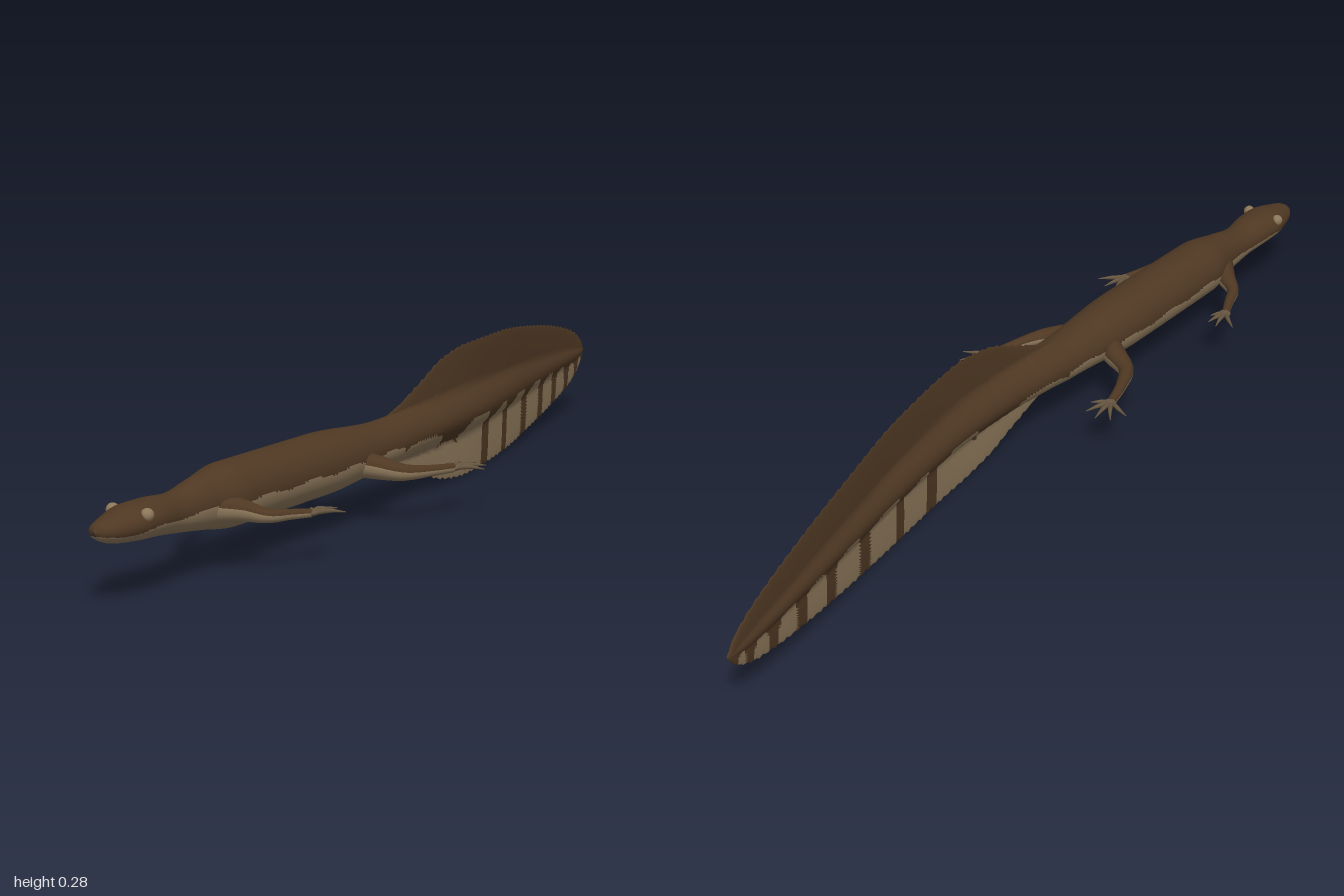
import * as THREE from 'three';

// z, centre x, half width, top y, bottom y, share of the height filled by the fleshy core
const PROFILE = [
  [1.00, 0, 0.002, 0.142, 0.136, 1],
  [0.99, 0, 0.019, 0.152, 0.126, 1],
  [0.96, 0, 0.033, 0.161, 0.114, 1],
  [0.90, 0, 0.046, 0.172, 0.107, 1],
  [0.86, 0, 0.044, 0.172, 0.104, 1],
  [0.80, 0, 0.037, 0.168, 0.097, 1],
  [0.72, 0, 0.044, 0.182, 0.086, 1],
  [0.64, 0, 0.061, 0.194, 0.075, 1],
  [0.36, 0, 0.063, 0.194, 0.075, 1],
  [0.15, 0, 0.050, 0.181, 0.088, 1],
  [0.08, 0, 0.046, 0.197, 0.078, 0.8],
  [0.00, 0, 0.042, 0.230, 0.050, 0.55],
  [-0.10, -0.004, 0.039, 0.269, 0.018, 0.40],
  [-0.20, -0.012, 0.036, 0.282, 0.008, 0.36],
  [-0.40, -0.045, 0.028, 0.278, 0.013, 0.34],
  [-0.60, -0.088, 0.020, 0.257, 0.030, 0.32],
  [-0.80, -0.130, 0.014, 0.224, 0.056, 0.32],
  [-0.92, -0.154, 0.010, 0.193, 0.082, 0.35],
  [-0.98, -0.166, 0.006, 0.164, 0.114, 0.4],
  [-1.00, -0.170, 0.002, 0.143, 0.137, 0.5],
];

// Pale patches on the tail: centre z, half length, top y
const PATCHES = [
  [0.04, 0.10, 0.130], [-0.10, 0.06, 0.095], [-0.215, 0.065, 0.136],
  [-0.36, 0.043, 0.132], [-0.48, 0.050, 0.135], [-0.61, 0.043, 0.133],
  [-0.72, 0.033, 0.130], [-0.815, 0.030, 0.127], [-0.90, 0.024, 0.124],
  [-0.96, 0.014, 0.128],
];

// Smooth reading of one profile column
function sample(z, col) {
  const P = PROFILE, last = P.length - 1;
  let i = 0;
  while (i < last - 1 && z < P[i + 1][0]) i++;
  const slope = (k) => {
    if (k === 0 || k === last) return 0;
    const l = (P[k][col] - P[k - 1][col]) / (P[k][0] - P[k - 1][0]);
    const r = (P[k + 1][col] - P[k][col]) / (P[k + 1][0] - P[k][0]);
    return l * r <= 0 ? 0 : (2 * l * r) / (l + r);
  };
  const h = P[i + 1][0] - P[i][0], t = (z - P[i][0]) / h;
  const t2 = t * t, t3 = t2 * t;
  return (2 * t3 - 3 * t2 + 1) * P[i][col] + (t3 - 2 * t2 + t) * h * slope(i)
    + (3 * t2 - 2 * t3) * P[i + 1][col] + (t3 - t2) * h * slope(i + 1);
}

// Sorts faces into two material groups: 0 where test is false, 1 where true
function paint(geo, test) {
  const p = geo.attributes.position, idx = geo.index.array, sets = [[], []];
  const tri = new THREE.Triangle(), mid = new THREE.Vector3(), nor = new THREE.Vector3();
  for (let i = 0; i < idx.length; i += 3) {
    tri.setFromAttributeAndIndices(p, idx[i], idx[i + 1], idx[i + 2]);
    tri.getMidpoint(mid);
    tri.getNormal(nor);
    sets[test(mid, nor) ? 1 : 0].push(idx[i], idx[i + 1], idx[i + 2]);
  }
  geo.setIndex([...sets[0], ...sets[1]]);
  geo.clearGroups();
  geo.addGroup(0, sets[0].length, 0);
  geo.addGroup(sets[0].length, sets[1].length, 1);
  return geo;
}

// Head, trunk and finned tail as one lofted skin
function bodyGeometry() {
  const rings = 220, sides = 80, pos = [], index = [];
  for (let i = 0; i <= rings; i++) {
    const f = i / rings;
    const z = f < 0.1 ? 1 - 12 * f * f : 0.88 - (f - 0.1) / 0.9 * 1.88;
    const [cx, hw, top, bot, core] = [1, 2, 3, 4, 5].map((c) => sample(z, c));
    const ragged = z < 0.05 && z > -0.97 ? 0.0025 * Math.sin(i * 2.4) : 0;
    const cy = (top + bot) / 2, hh = (top - bot) / 2 + ragged;
    for (let j = 0; j < sides; j++) {
      const a = (j / sides) * Math.PI * 2, c = Math.cos(a), s = Math.sin(a);
      const u = Math.min(1, Math.abs(s) / core);
      const flesh = hw * Math.pow(1 - u * u, 0.5 + (1 - core) * 0.7);
      const fin = Math.min(hw, 0.005) * Math.abs(c);
      pos.push(cx + Math.sign(c) * Math.max(flesh, fin), cy + hh * s, z);
    }
  }
  for (let i = 0; i < rings; i++) {
    for (let j = 0; j < sides; j++) {
      const a = i * sides + j, b = i * sides + (j + 1) % sides;
      index.push(a, a + sides, b, b, a + sides, b + sides);
    }
  }
  const geo = new THREE.BufferGeometry();
  geo.setAttribute('position', new THREE.Float32BufferAttribute(pos, 3));
  geo.setIndex(index);
  geo.computeVertexNormals();
  return paint(geo, ({ y, z }) => {
    if (z > 0.12) return y < 0.131 + 0.003 * Math.sin(z * 45);
    return PATCHES.some(([zc, half, t]) => {
      const d = Math.abs(z - zc) / half;
      return d < 1 && y < t - 0.03 * d ** 4;
    });
  });
}

// Tube through points whose radius follows a list
function taperedTube(points, radii, segments, sides) {
  const curve = new THREE.CatmullRomCurve3(points.map((p) => new THREE.Vector3(...p)));
  const geo = new THREE.TubeGeometry(curve, segments, 1, sides, false);
  const p = geo.attributes.position, v = new THREE.Vector3();
  for (let i = 0; i <= segments; i++) {
    const c = curve.getPointAt(i / segments);
    const f = (i / segments) * (radii.length - 1);
    const k = Math.min(Math.floor(f), radii.length - 2);
    const r = THREE.MathUtils.lerp(radii[k], radii[k + 1], f - k);
    for (let j = 0; j <= sides; j++) {
      const n = i * (sides + 1) + j;
      v.fromBufferAttribute(p, n).sub(c).multiplyScalar(r).add(c);
      p.setXYZ(n, v.x, v.y, v.z);
    }
  }
  return geo;
}

export function createModel() {
  const brown = new THREE.MeshStandardMaterial({ color: 0x4f3823 });
  const tan = new THREE.MeshStandardMaterial({ color: 0x8c775a });
  const toeBrown = new THREE.MeshStandardMaterial({ color: 0x665640 });
  brown.name = 'dark brown back';
  tan.name = 'pale belly';
  toeBrown.name = 'toe brown';

  const model = new THREE.Group();
  model.name = 'newt';
  const add = (parent, name, geo, mat) => {
    const mesh = new THREE.Mesh(geo, mat);
    mesh.name = name;
    parent.add(mesh);
    return mesh;
  };
  add(model, 'bodyAndTail', bodyGeometry(), [brown, tan]);

  // Limb paths and toe tips for the left side, mirrored for the right
  const limbs = [
    { name: 'frontLeg',
      path: [[0.025, 0.125, 0.70], [0.060, 0.118, 0.668], [0.093, 0.108, 0.645], [0.113, 0.104, 0.60], [0.130, 0.101, 0.563]],
      radii: [0.027, 0.021, 0.013, 0.010, 0.008],
      toes: [[0.110, 0.535], [0.122, 0.508], [0.145, 0.502], [0.176, 0.520]] },
    { name: 'hindLeg',
      path: [[0.025, 0.125, 0.27], [0.065, 0.117, 0.250], [0.108, 0.108, 0.228], [0.135, 0.104, 0.175], [0.153, 0.101, 0.117]],
      radii: [0.028, 0.023, 0.015, 0.011, 0.009],
      toes: [[0.120, 0.092], [0.133, 0.058], [0.163, 0.048], [0.192, 0.060], [0.208, 0.092]] },
  ];
  for (const side of [1, -1]) {
    const label = side > 0 ? 'left' : 'right';
    for (const limb of limbs) {
      const leg = new THREE.Group();
      leg.name = `${label} ${limb.name}`;
      model.add(leg);
      const path = limb.path.map(([x, y, z]) => [x * side, y, z]);
      const tube = taperedTube(path, limb.radii, 24, 14);
      add(leg, 'limb', paint(tube, (m, n) => n.y < 0.1), [brown, tan]);

      // Flattened palm with fanned toes
      const [wx, wy, wz] = path[path.length - 1];
      const palm = add(leg, 'palm', new THREE.SphereGeometry(0.013, 14, 10), toeBrown);
      palm.scale.y = 0.5;
      palm.position.set(wx, wy, wz - 0.004);
      for (const [tx, tz] of limb.toes) {
        const x = tx * side;
        const toe = [[wx, wy, wz], [(wx + x) / 2, 0.103, (wz + tz) / 2 - 0.003], [x, 0.100, tz]];
        add(leg, 'toe', taperedTube(toe, [0.0055, 0.0045, 0.0008], 8, 7), toeBrown);
      }
    }
    // Bulging eye
    const eye = add(model, `${label} eye`, new THREE.SphereGeometry(0.012, 16, 12), tan);
    eye.position.set(0.037 * side, 0.156, 0.905);
  }
  return model;
}
